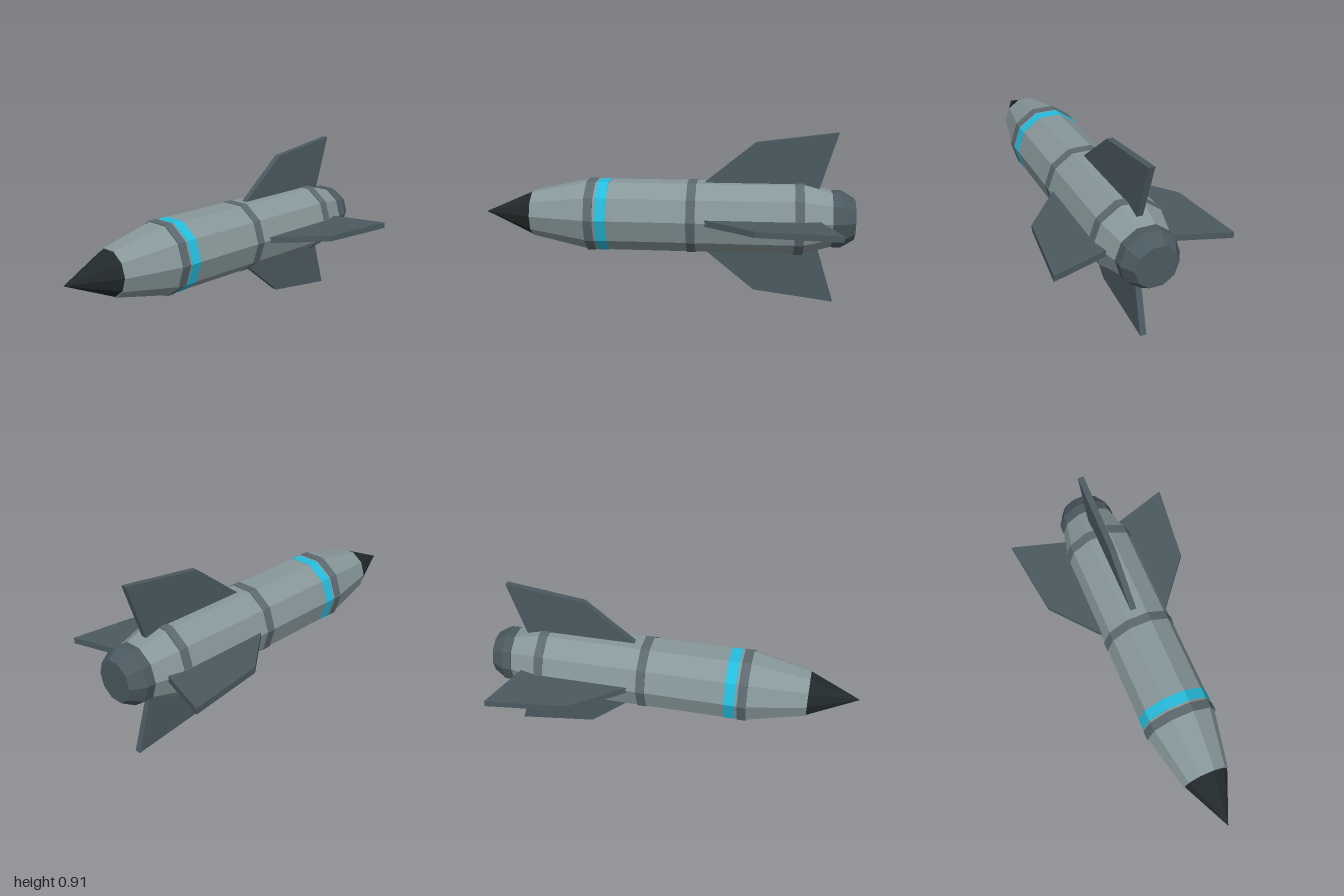
import * as THREE from 'three';

const SIDES = 10;
const AXIS_Y = 0.455;

const paint = (color) => new THREE.MeshStandardMaterial({ color, flatShading: true });

export function createModel() {
  const model = new THREE.Group();
  const hull = paint(0x87979a);
  const trim = paint(0x5c696f);
  const dark = paint(0x4b5a60);
  const black = paint(0x22292b);
  const blue = paint(0x25bcdc);

  // Ten-sided section along z, with corners on the left and right and flats on top and bottom
  function section(name, zBack, zFront, rBack, rFront, material) {
    const geometry = new THREE.CylinderGeometry(rFront, rBack, zFront - zBack, SIDES);
    geometry.rotateY(Math.PI / 2).rotateX(Math.PI / 2);
    const mesh = new THREE.Mesh(geometry, material);
    mesh.name = name;
    mesh.position.set(0, AXIS_Y, (zBack + zFront) / 2);
    model.add(mesh);
  }

  // Hull, from tail to nose
  section('exhaustTaper', -0.985, -0.915, 0.11, 0.152, dark);
  section('exhaustRing', -0.915, -0.865, 0.152, 0.152, dark);
  section('tailTaper', -0.87, -0.71, 0.148, 0.193, hull);
  section('body', -0.71, 0.42, 0.193, 0.193, hull);
  section('noseTaper', 0.42, 0.735, 0.193, 0.124, hull);
  section('noseTip', 0.73, 1, 0.122, 0, black);

  // Raised bands
  [[-0.717, -0.67], [-0.155, -0.108], [0.383, 0.43]].forEach(([back, front], i) =>
    section(`band${i + 1}`, back, front, 0.197, 0.197, trim));
  section('blueStripe', 0.312, 0.37, 0.195, 0.195, blue);

  // Four swept fins; outline points are (z, distance from the axis)
  const outline = [[-0.2, 0.1], [-0.2, 0.185], [-0.465, 0.4], [-0.89, 0.455], [-0.8, 0.165], [-0.78, 0.1]];
  const thickness = 0.032;
  const finGeometry = new THREE.ExtrudeGeometry(
    new THREE.Shape(outline.map(([z, r]) => new THREE.Vector2(z, r))),
    { depth: thickness, bevelEnabled: false });
  finGeometry.translate(0, 0, -thickness / 2).rotateY(-Math.PI / 2);
  ['topFin', 'leftFin', 'bottomFin', 'rightFin'].forEach((name, i) => {
    const fin = new THREE.Mesh(finGeometry, dark);
    fin.name = name;
    fin.position.y = AXIS_Y;
    fin.rotation.z = -i * Math.PI / 2;
    model.add(fin);
  });

  return model;
}
